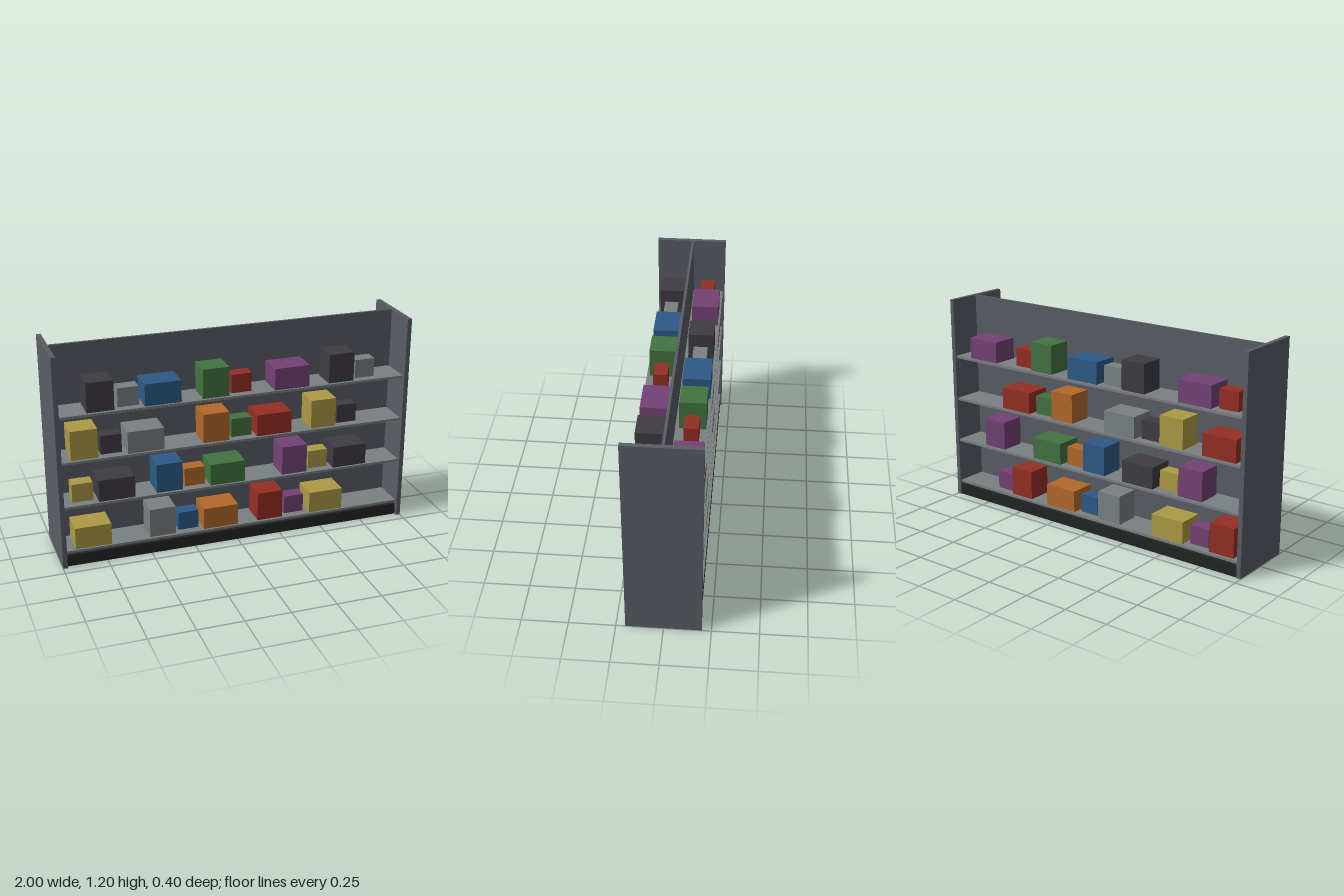
import * as THREE from 'three';

const mat = (name, color) => {
  const m = new THREE.MeshStandardMaterial({ color });
  m.name = name;
  return m;
};

export function createModel() {
  const M = {
    frame: mat('slate frame', 0x5a5d65),
    grey: mat('light grey', 0x7a8082),
    base: mat('black plinth', 0x222423),
    yellow: mat('yellow', 0xac9a44),
    blue: mat('blue', 0x2c5a86),
    green: mat('green', 0x437341),
    red: mat('red', 0x942e23),
    purple: mat('purple', 0x744275),
    orange: mat('orange', 0xb3692a),
    dark: mat('charcoal', 0x3e3c42),
  };
  const root = new THREE.Group();
  root.name = 'doubleSidedShelf';

  // Box placed by the centre of its underside
  const box = (parent, name, material, [w, h, d], x, y, z) => {
    const mesh = new THREE.Mesh(new THREE.BoxGeometry(w, h, d), material);
    mesh.name = name;
    mesh.position.set(x, y + h / 2, z);
    parent.add(mesh);
  };

  // Plinth, centre divider and end panels
  const midZ = -0.006;
  box(root, 'plinth', M.base, [1.998, 0.065, 0.37], 0, 0, midZ);
  box(root, 'divider', M.frame, [1.95, 1.135, 0.015], 0, 0.065, midZ);
  for (const s of [1, -1]) {
    box(root, s > 0 ? 'leftPanel' : 'rightPanel', M.frame, [0.025, 1.199, 0.4], s * 0.9875, 0.001, 0);
  }

  // Three carton sizes: tall, small, wide
  const sizes = { t: [0.147, 0.165, 0.14], s: [0.115, 0.105, 0.077], w: [0.2, 0.123, 0.15] };

  // Cartons per shelf, bottom to top: [colour, size, x]
  const front = [
    [['yellow', 'w', -0.82], ['grey', 't', -0.43], ['blue', 's', -0.275], ['orange', 'w', -0.095],
      ['red', 't', 0.197], ['purple', 's', 0.353], ['yellow', 'w', 0.535]],
    [['yellow', 's', -0.861], ['dark', 'w', -0.68], ['blue', 't', -0.386], ['orange', 's', -0.235],
      ['green', 'w', -0.055], ['purple', 't', 0.34], ['yellow', 's', 0.492], ['dark', 'w', 0.673]],
    [['yellow', 't', -0.846], ['dark', 's', -0.695], ['grey', 'w', -0.513], ['orange', 't', -0.119],
      ['green', 's', 0.035], ['red', 'w', 0.214], ['yellow', 't', 0.507], ['dark', 's', 0.66]],
    [['dark', 't', -0.75], ['grey', 's', -0.594], ['blue', 'w', -0.413], ['green', 't', -0.119],
      ['red', 's', 0.035], ['purple', 'w', 0.314], ['dark', 't', 0.607], ['grey', 's', 0.76]],
  ];
  const back = [
    [['red', 't', -0.865], ['purple', 's', -0.71], ['yellow', 'w', -0.527], ['grey', 't', -0.134],
      ['blue', 's', 0.025], ['orange', 'w', 0.206], ['red', 't', 0.5], ['purple', 's', 0.653]],
    [['purple', 't', -0.665], ['yellow', 's', -0.509], ['dark', 'w', -0.329], ['blue', 't', -0.03],
      ['orange', 's', 0.124], ['green', 'w', 0.304], ['purple', 't', 0.702]],
    [['red', 'w', -0.836], ['yellow', 't', -0.54], ['dark', 's', -0.386], ['grey', 'w', -0.207],
      ['orange', 't', 0.194], ['green', 's', 0.349], ['red', 'w', 0.528]],
    [['red', 's', -0.863], ['purple', 'w', -0.682], ['dark', 't', -0.292], ['grey', 's', -0.136],
      ['blue', 'w', 0.044], ['green', 't', 0.338], ['red', 's', 0.491], ['purple', 'w', 0.77]],
  ];

  // Shelf boards on both faces of the divider, with their cartons
  const tops = [0.09, 0.352, 0.609, 0.866];
  const sides = [['front', 1, front], ['back', -1, back]];
  for (const [side, s, rows] of sides) {
    tops.forEach((y, i) => {
      const shelf = new THREE.Group();
      shelf.name = `${side}Shelf${i + 1}`;
      root.add(shelf);
      box(shelf, 'board', M.grey, [1.95, 0.014, 0.1775], 0, y - 0.014, midZ + s * 0.09625);
      for (const [colour, size, x] of rows[i]) {
        box(shelf, `${colour}Carton`, M[colour], sizes[size], x, y, midZ + s * 0.099);
      }
    });
  }
  return root;
}
